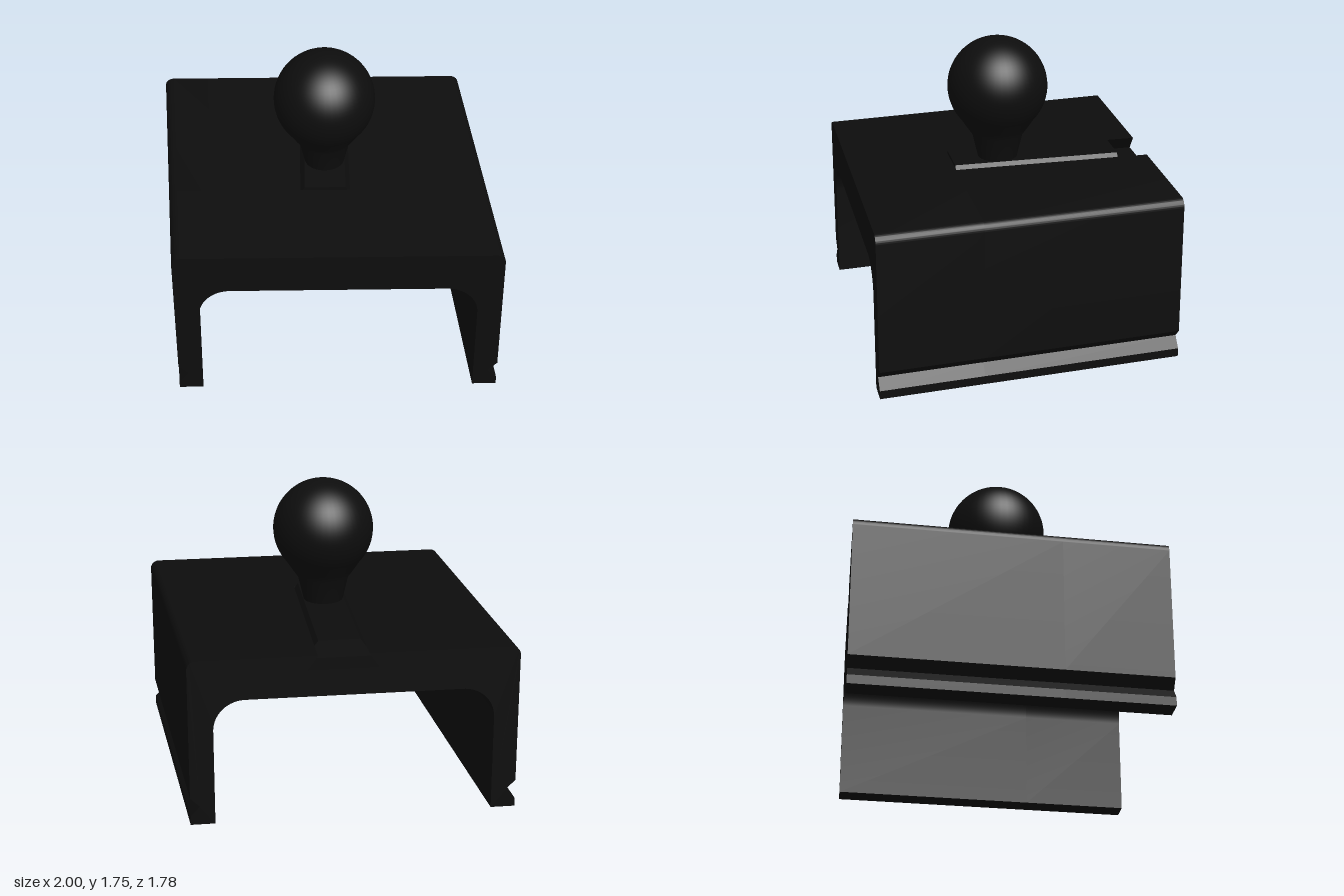
import * as THREE from 'three';
import { toCreasedNormals } from 'three/addons/utils/BufferGeometryUtils.js';

const SHEAR = 0.073;   // sideways drift of the bridge per unit of depth
const HALF_DEPTH = 0.89;
const SLOT_END = 0.28;

// Bridge cross-section: two notched legs, rounded corners, optional dovetail slot on top
function bridgeShape(withSlot) {
  const s = new THREE.Shape();
  s.moveTo(0.795, 0);
  s.lineTo(0.935, 0);
  s.lineTo(0.935, 0.05);
  s.lineTo(0.88, 0.11);
  s.lineTo(0.935, 0.165);
  s.lineTo(0.935, 0.94);
  s.absarc(0.885, 0.94, 0.05, 0, Math.PI / 2, false);
  if (withSlot) {
    s.lineTo(0.145, 0.99);
    s.lineTo(0.205, 0.905);
    s.lineTo(-0.205, 0.905);
    s.lineTo(-0.145, 0.99);
  }
  s.lineTo(-0.885, 0.99);
  s.absarc(-0.885, 0.94, 0.05, Math.PI / 2, Math.PI, false);
  s.lineTo(-0.935, 0.165);
  s.lineTo(-0.88, 0.11);
  s.lineTo(-0.935, 0.05);
  s.lineTo(-0.935, 0);
  s.lineTo(-0.795, 0);
  s.lineTo(-0.795, 0.57);
  s.absarc(-0.615, 0.57, 0.18, Math.PI, Math.PI / 2, true);
  s.absarc(0.615, 0.57, 0.18, Math.PI / 2, 0, true);
  s.closePath();
  return s;
}

function extrude(shape, z0, z1) {
  const g = new THREE.ExtrudeGeometry(shape, { depth: z1 - z0, bevelEnabled: false, curveSegments: 12 });
  return g.translate(0, 0, z0);
}

// Skew the bridge sideways with depth, keeping the slot straight
function skew(g) {
  const p = g.attributes.position;
  for (let i = 0; i < p.count; i++) {
    const inSlot = Math.abs(p.getX(i)) < 0.3 && p.getY(i) > 0.9;
    if (!inSlot) p.setX(i, p.getX(i) + SHEAR * p.getZ(i));
  }
  return toCreasedNormals(g, 0.5);
}

export function createModel() {
  const group = new THREE.Group();
  const black = new THREE.MeshStandardMaterial({ color: 0x0d0d0d });
  black.name = 'matte black';
  const add = (name, geometry) => {
    const mesh = new THREE.Mesh(geometry, black);
    mesh.name = name;
    group.add(mesh);
  };

  // Bridge, solid in front and slotted behind
  add('bridgeFront', skew(extrude(bridgeShape(false), SLOT_END, HALF_DEPTH)));
  add('bridgeSlotted', skew(extrude(bridgeShape(true), -HALF_DEPTH, SLOT_END)));

  // Dovetail slide sitting in the slot, slightly proud of the top
  const slide = new THREE.Shape([
    new THREE.Vector2(-0.195, 0.905), new THREE.Vector2(0.195, 0.905),
    new THREE.Vector2(0.12, 1.01), new THREE.Vector2(-0.12, 1.01),
  ]);
  add('dovetailSlide', extrude(slide, -0.71, SLOT_END));

  // Ball and tapered neck turned as one piece
  const R = 0.295, CY = 1.45;
  const profile = [[0.115, 1.0], [0.15, 1.15], [0.185, 1.2]].map(([x, y]) => new THREE.Vector2(x, y));
  const start = -0.72;
  for (let i = 0; i <= 28; i++) {
    const a = start + (Math.PI / 2 - start) * i / 28;
    profile.push(new THREE.Vector2(i === 28 ? 0 : R * Math.cos(a), CY + R * Math.sin(a)));
  }
  add('ballStud', new THREE.LatheGeometry(profile, 48));

  return group;
}
